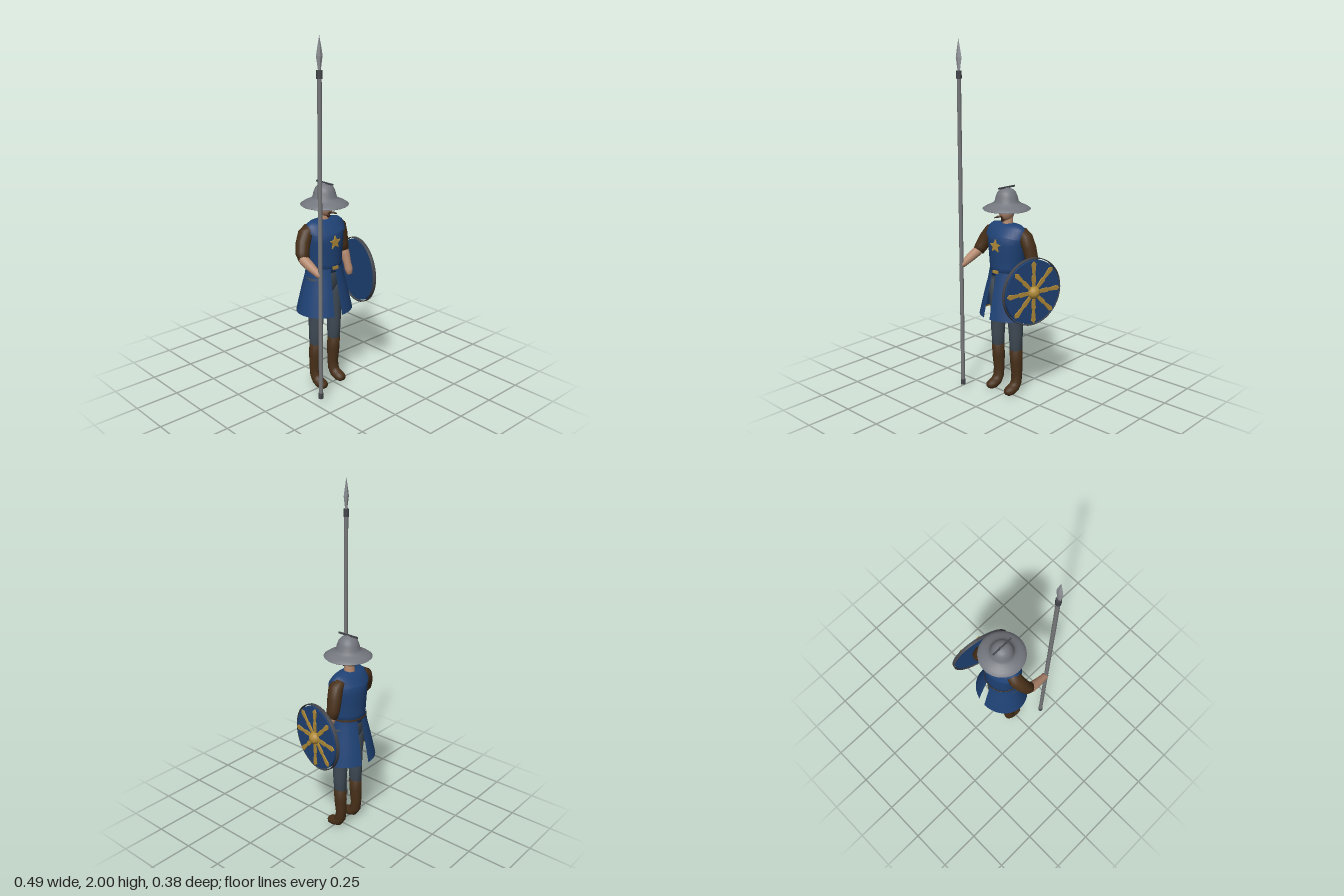
import * as THREE from 'three';

const paint = (name, color, side = THREE.FrontSide) => {
  const m = new THREE.MeshStandardMaterial({ color, side });
  m.name = name;
  return m;
};

// Closed skin over elliptical rings; each ring is [x, y, z, sideRadius, depthRadius]
function limb(rings, seg = 18) {
  const pos = [], idx = [], n = rings.length;
  const centre = rings.map(r => new THREE.Vector3(r[0], r[1], r[2]));
  rings.forEach((r, i) => {
    const t = centre[Math.min(i + 1, n - 1)].clone().sub(centre[Math.max(i - 1, 0)]).normalize();
    const s = new THREE.Vector3(1, 0, 0).addScaledVector(t, -t.x).normalize();
    const d = t.clone().cross(s);
    for (let j = 0; j < seg; j++) {
      const a = j / seg * Math.PI * 2;
      const p = centre[i].clone().addScaledVector(s, Math.cos(a) * r[3])
        .addScaledVector(d, Math.sin(a) * (r[4] ?? r[3]));
      pos.push(p.x, p.y, p.z);
    }
  });
  for (let i = 0; i < n - 1; i++) for (let j = 0; j < seg; j++) {
    const k = (j + 1) % seg, a = i * seg, b = a + seg;
    idx.push(a + j, a + k, b + k, a + j, b + k, b + j);
  }
  pos.push(...centre[0].toArray(), ...centre[n - 1].toArray());
  for (let j = 0; j < seg; j++) {
    const k = (j + 1) % seg, e = (n - 1) * seg;
    idx.push(n * seg, k, j, n * seg + 1, e + j, e + k);
  }
  const g = new THREE.BufferGeometry();
  g.setAttribute('position', new THREE.Float32BufferAttribute(pos, 3));
  g.setIndex(idx);
  g.computeVertexNormals();
  return g;
}

const lathe = (pts, seg = 32, start = 0, len = Math.PI * 2) =>
  new THREE.LatheGeometry(pts.map(p => new THREE.Vector2(...p)), seg, start, len);

export function createModel() {
  const root = new THREE.Group();
  const blue = paint('blue cloth', 0x1f4275, THREE.DoubleSide);
  const brown = paint('brown leather', 0x483019);
  const grey = paint('grey trousers', 0x404b56);
  const skin = paint('skin', 0xb58a70);
  const steel = paint('hat steel', 0x74777e, THREE.DoubleSide);
  const blade = paint('bright steel', 0x94979c);
  const iron = paint('dark iron', 0x44464c);
  const gold = paint('gold', 0xb08a38, THREE.DoubleSide);
  const hair = paint('dark hair', 0x3a2415);
  const wood = paint('spear shaft', 0x77787a);

  const add = (name, geo, mat, parent = root) => {
    const m = new THREE.Mesh(geo, mat);
    m.name = name;
    parent.add(m);
    return m;
  };
  const CX = -0.03, CZ = -0.04;

  // Legs and boots
  for (const [side, x] of [['left', 0.04], ['right', -0.099]]) {
    const hip = x > CX ? 0.036 : -0.094;
    add(side + 'TrouserLeg', limb([[hip, 0.68, -0.035, 0.056, 0.065], [hip, 0.56, -0.036, 0.05, 0.056],
      [hip, 0.47, -0.036, 0.043, 0.048], [x, 0.36, -0.036, 0.039, 0.041], [x, 0.25, -0.039, 0.034, 0.036]]), grey);
    add(side + 'Boot', limb([[x, 0.272, -0.037, 0.036, 0.038], [x, 0.2, -0.041, 0.036, 0.037],
      [x, 0.12, -0.045, 0.032, 0.031], [x, 0.07, -0.041, 0.031, 0.031], [x, 0.043, -0.022, 0.032, 0.032],
      [x, 0.032, 0.008, 0.033, 0.029], [x, 0.029, 0.033, 0.029, 0.024], [x, 0.029, 0.047, 0.016, 0.013]]), brown);
  }
  add('trouserHips', limb([[CX, 0.56, CZ, 0.05, 0.04], [CX, 0.62, CZ, 0.1, 0.068], [CX, 0.73, CZ, 0.098, 0.076]]), grey);

  // Tunic: body, shoulder mantle, belt and a skirt split at front and back
  add('tunicBody', limb([[CX, 0.71, CZ, 0.106, 0.092], [CX, 0.76, CZ, 0.105, 0.09], [CX, 0.83, CZ, 0.112, 0.092],
    [CX, 0.89, CZ, 0.12, 0.094], [CX, 0.935, CZ, 0.124, 0.089], [CX, 0.965, CZ, 0.116, 0.064],
    [CX, 0.99, CZ, 0.09, 0.042]], 28), blue);
  const mantle = lathe([[1.05, 0.932], [1.05, 0.955], [0.97, 0.98], [0.78, 0.998], [0.25, 1.003]], 32);
  const mp = mantle.attributes.position;
  for (let i = 0; i < mp.count; i++) {
    const y = mp.getY(i), top = THREE.MathUtils.clamp((y - 0.925) / 0.075, 0, 1);
    const x = mp.getX(i);
    const wave = y < 0.94 ? 0.008 * Math.sin(x * 4) : 0;
    mp.setXYZ(i, x * 0.128, y + wave, mp.getZ(i) * THREE.MathUtils.lerp(0.092, 0.05, top));
  }
  mantle.computeVertexNormals();
  add('shoulderMantle', mantle, blue).position.set(CX, 0, CZ);

  const GAP = 0.3;
  for (const [side, start] of [['left', 0], ['right', Math.PI]]) {
    const skirt = add(side + 'Skirt', lathe([[0.168, 0.47], [0.153, 0.535], [0.135, 0.61], [0.116, 0.68], [0.106, 0.735]],
      16, start, Math.PI - GAP), blue);
    const hem = add(side + 'SkirtHem', lathe([[0.1655, 0.471], [0.1635, 0.481]], 16, start, Math.PI - GAP), gold);
    for (const m of [skirt, hem]) {
      m.scale.z = 0.88;
      m.position.set(CX, 0, CZ);
    }
  }
  // Belt strap around the back, buckle in front
  const belt = add('belt', lathe([[0.106, 0.727], [0.1085, 0.728], [0.1085, 0.737], [0.106, 0.738]], 24, Math.PI / 2, Math.PI), brown);
  belt.scale.z = 0.88;
  belt.position.set(CX, 0, CZ);
  add('beltBuckle', new THREE.BoxGeometry(0.038, 0.016, 0.009), gold).position.set(CX, 0.737, 0.055);

  // Chest star
  const star = new THREE.Shape();
  for (let i = 0; i < 10; i++) {
    const a = Math.PI / 2 + i * Math.PI / 5, r = i % 2 ? 0.018 : 0.039;
    star[i ? 'lineTo' : 'moveTo'](r * Math.cos(a), r * Math.sin(a));
  }
  star.closePath();
  add('chestStar', new THREE.ExtrudeGeometry(star, { depth: 0.009, bevelEnabled: false }), gold).position.set(CX - 0.003, 0.884, 0.0495);

  // Arms
  add('rightSleeve', limb([[-0.125, 0.963, -0.05, 0.03, 0.04], [-0.158, 0.936, -0.05, 0.04, 0.043],
    [-0.188, 0.89, -0.035, 0.04, 0.04], [-0.209, 0.84, -0.015, 0.037, 0.036], [-0.213, 0.815, 0.005, 0.032, 0.032]]), brown);
  add('rightForearm', limb([[-0.214, 0.835, -0.012, 0.026], [-0.219, 0.812, 0.012, 0.029], [-0.219, 0.79, 0.06, 0.026],
    [-0.217, 0.772, 0.1, 0.021], [-0.216, 0.762, 0.128, 0.02], [-0.216, 0.758, 0.142, 0.014]]), skin);
  add('leftSleeve', limb([[0.065, 0.963, -0.05, 0.03, 0.04], [0.095, 0.936, -0.053, 0.037, 0.043],
    [0.115, 0.88, -0.061, 0.037, 0.042], [0.13, 0.82, -0.065, 0.034, 0.038], [0.136, 0.78, -0.06, 0.03, 0.033]]), brown);
  add('leftForearm', limb([[0.134, 0.8, -0.062, 0.026], [0.141, 0.75, -0.05, 0.027], [0.145, 0.7, -0.036, 0.022],
    [0.147, 0.665, -0.026, 0.024], [0.148, 0.635, -0.02, 0.016]]), skin);

  // Head
  add('neck', new THREE.CylinderGeometry(0.026, 0.032, 0.08, 16), skin).position.set(CX, 1.015, -0.045);
  const ball = (name, mat, x, y, z, rx, ry, rz) => {
    const m = add(name, new THREE.SphereGeometry(1, 20, 14), mat);
    m.position.set(x, y, z);
    m.scale.set(rx, ry, rz);
  };
  ball('head', skin, CX, 1.08, -0.037, 0.041, 0.066, 0.053);
  ball('hair', brown, CX, 1.104, -0.057, 0.043, 0.046, 0.045);
  ball('nose', skin, CX, 1.063, 0.016, 0.007, 0.013, 0.011);
  ball('beard', hair, CX, 1.025, -0.003, 0.01, 0.011, 0.01);
  for (const s of [-1, 1]) {
    ball('ear', skin, CX + s * 0.042, 1.07, -0.038, 0.006, 0.014, 0.009);
    ball('eye', hair, CX + s * 0.017, 1.08, 0.006, 0.006, 0.004, 0.004);
    add('moustache', limb([[CX, 1.045, 0.012, 0.005], [CX + s * 0.016, 1.043, 0.019, 0.006],
      [CX + s * 0.03, 1.037, 0.034, 0.003]], 8), hair);
  }

  // Wide brimmed steel hat with a ridge bar
  const hat = new THREE.Group();
  hat.name = 'hat';
  hat.position.set(CX, 0, -0.035);
  root.add(hat);
  add('hatShell', lathe([[0.13, 1.081], [0.134, 1.085], [0.115, 1.098], [0.092, 1.108], [0.074, 1.118], [0.066, 1.13],
    [0.061, 1.152], [0.052, 1.175], [0.037, 1.191], [0.018, 1.199], [0, 1.201]], 40), steel, hat);
  add('hatRidge', new THREE.BoxGeometry(0.008, 0.009, 0.132), iron, hat).position.set(0, 1.203, 0);
  add('hatKnob', new THREE.CylinderGeometry(0.014, 0.018, 0.008, 16), steel, hat).position.y = 1.198;

  // Spear
  const spear = new THREE.Group();
  spear.name = 'spear';
  spear.position.set(-0.216, 0, 0.138);
  root.add(spear);
  const rod = (name, mat, r, y0, y1) =>
    add(name, new THREE.CylinderGeometry(r, r, y1 - y0, 14), mat, spear).position.y = (y0 + y1) / 2;
  rod('spearShaft', wood, 0.0115, 0.04, 1.83);
  rod('spearFoot', iron, 0.0135, 0.035, 0.068);
  rod('spearCollar', iron, 0.0155, 1.79, 1.832);
  const head = lathe([[0.009, 1.83], [0.022, 1.9], [0.015, 1.935], [0, 2]], 4).toNonIndexed();
  head.scale(1, 1, 0.36);
  head.computeVertexNormals();
  add('spearHead', head, blade, spear);

  // Round shield: local +y is the outer face, turned to face the model's left
  const shield = new THREE.Group();
  shield.name = 'shield';
  shield.position.set(0.188, 0.658, 0);
  shield.rotation.set(0, -0.222, -Math.PI / 2);
  root.add(shield);
  add('shieldBoard', new THREE.CylinderGeometry(0.179, 0.179, 0.018, 40), blue, shield).position.y = 0.004;
  add('shieldRim', lathe([[0.186, -0.01], [0.19, -0.01], [0.19, 0.01], [0.186, 0.01], [0.186, -0.01]], 40), iron, shield);
  add('shieldBoss', new THREE.SphereGeometry(0.036, 20, 10, 0, Math.PI * 2, 0, Math.PI / 2), gold, shield).position.y = 0.014;
  const spoke = new THREE.Shape([[0.02, -0.008], [0.09, -0.013], [0.1, -0.007], [0.16, -0.014],
    [0.175, 0], [0.16, 0.014], [0.1, 0.007], [0.09, 0.013], [0.02, 0.008]].map(p => new THREE.Vector2(...p)));
  const spokeGeo = new THREE.ExtrudeGeometry(spoke, { depth: 0.007, bevelEnabled: false });
  spokeGeo.rotateX(-Math.PI / 2);
  for (let i = 0; i < 8; i++) {
    const s = add('shieldSpoke', spokeGeo, gold, shield);
    s.position.y = 0.014;
    s.rotation.y = i * Math.PI / 4;
  }
  return root;
}
